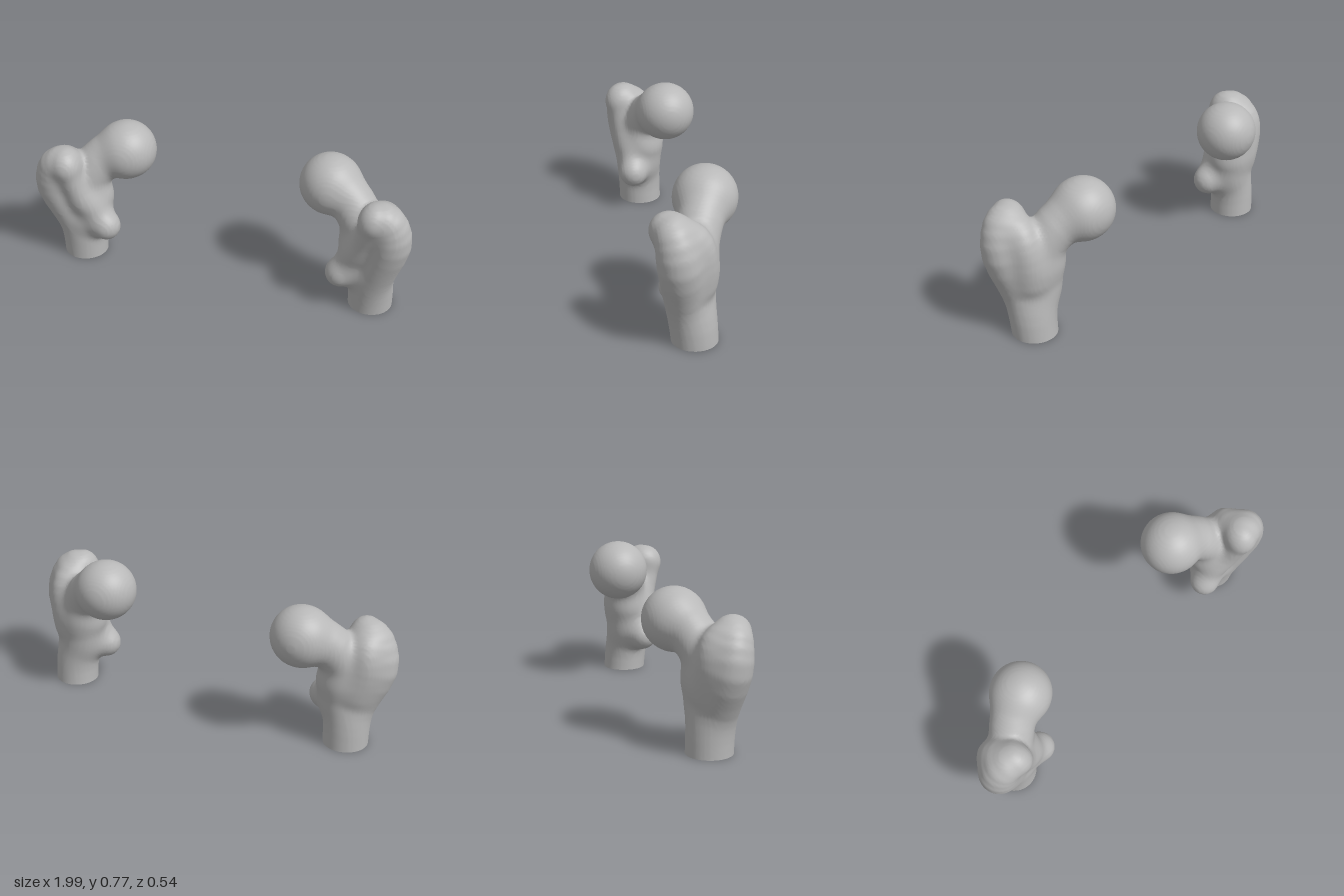
import * as THREE from 'three';

const H = 0.0125; // sampling step of the sculpted surface

const bone = new THREE.MeshStandardMaterial({ color: 0xb8b8b8, side: THREE.DoubleSide });
bone.name = 'boneGrey';

// Anchor spheres [x, y, z, radius] of each thigh bone, x measured outward from the middle.
const leftBone = {
  head: [[0.545, 0.617, -0.062, 0.157], [0.55, 0.615, -0.06, 0.157]],
  neck: [[0.56, 0.605, -0.055, 0.115], [0.645, 0.58, -0.018, 0.114], [0.72, 0.495, 0.025, 0.112], [0.77, 0.38, 0.05, 0.115]],
  shaft: [[0.8, -0.1, 0.045, 0.1], [0.796, 0.08, 0.045, 0.103], [0.765, 0.22, 0.048, 0.108], [0.735, 0.36, 0.045, 0.112]],
  side: [[0.798, -0.1, 0.03, 0.1], [0.808, 0.08, 0.064, 0.1], [0.828, 0.23, 0.102, 0.097], [0.888, 0.45, 0.14, 0.106],
    [0.87, 0.58, 0.162, 0.092], [0.81, 0.616, 0.19, 0.07]],
  frontRidge: [[0.82, 0.61, 0.15, 0.07], [0.845, 0.555, 0.065, 0.075], [0.845, 0.46, 0.035, 0.078], [0.82, 0.32, 0.04, 0.085]],
  lesser: [[0.73, 0.23, 0.07, 0.09], [0.645, 0.203, 0.11, 0.069]],
  crest: [[0.798, 0.58, 0.195, 0.06], [0.755, 0.42, 0.15, 0.06], [0.69, 0.3, 0.115, 0.06], [0.65, 0.22, 0.11, 0.055]],
};
const rightBone = {
  head: [[0.545, 0.602, -0.117, 0.155], [0.55, 0.6, -0.115, 0.155]],
  neck: [[0.56, 0.59, -0.11, 0.115], [0.65, 0.565, -0.075, 0.114], [0.72, 0.48, -0.035, 0.112], [0.755, 0.36, -0.015, 0.115]],
  shaft: [[0.763, -0.1, -0.018, 0.103], [0.76, 0.08, -0.018, 0.104], [0.74, 0.21, -0.018, 0.108], [0.715, 0.34, -0.02, 0.112]],
  side: [[0.765, -0.1, -0.02, 0.103], [0.775, 0.08, -0.01, 0.101], [0.808, 0.22, 0.01, 0.097], [0.888, 0.42, 0.032, 0.106],
    [0.873, 0.55, 0.055, 0.092], [0.815, 0.592, 0.088, 0.07]],
  frontRidge: [[0.82, 0.59, 0.05, 0.07], [0.85, 0.54, -0.02, 0.075], [0.85, 0.45, -0.04, 0.078], [0.81, 0.31, -0.025, 0.085]],
  lesser: [[0.705, 0.23, 0.01, 0.09], [0.62, 0.208, 0.05, 0.07]],
  crest: [[0.798, 0.555, 0.095, 0.06], [0.755, 0.41, 0.075, 0.06], [0.68, 0.3, 0.055, 0.06], [0.63, 0.23, 0.05, 0.055]],
};

// Resample a chain of spheres along a smooth curve, radius included
function smoothChain(chain) {
  if (chain.length < 3) return chain;
  const path = new THREE.CatmullRomCurve3(chain.map((s) => new THREE.Vector3(s[0], s[1], s[2])), false, 'catmullrom');
  const radius = new THREE.SplineCurve(chain.map((s) => new THREE.Vector2(s[3], 0)));
  const n = (chain.length - 1) * 3;
  return Array.from({ length: n + 1 }, (_, i) => [...path.getPoint(i / n).toArray(), radius.getPoint(i / n).x]);
}

// Distance to a tapered limb running through a chain of spheres
function limb(chain, x, y, z) {
  let best = Infinity;
  for (let n = 0; n + 1 < chain.length; n++) {
    const a = chain[n], b = chain[n + 1];
    const dx = b[0] - a[0], dy = b[1] - a[1], dz = b[2] - a[2];
    const px = x - a[0], py = y - a[1], pz = z - a[2];
    const t = Math.min(1, Math.max(0, (px * dx + py * dy + pz * dz) / (dx * dx + dy * dy + dz * dz)));
    const qx = px - dx * t, qy = py - dy * t, qz = pz - dz * t;
    best = Math.min(best, Math.sqrt(qx * qx + qy * qy + qz * qz) - a[3] - (b[3] - a[3]) * t);
  }
  return best;
}

// Union with a soft fillet of width k
function blend(a, b, k) {
  const h = Math.max(k - Math.abs(a - b), 0) / k;
  return Math.min(a, b) - h * h * k * 0.25;
}

// Parts in the order they are joined, each with its fillet width
const joints = [['side', 0.05], ['neck', 0.05], ['frontRidge', 0.045], ['crest', 0.045], ['lesser', 0.055], ['head', 0.03]];

function boneField(parts, x, y, z) {
  return joints.reduce((d, [name, k]) => blend(d, limb(parts[name], x, y, z), k), limb(parts.shaft, x, y, z));
}

// Skin the field with one vertex per crossed cell and one quad per crossed edge
function skin(field, min, max) {
  const size = min.map((m, i) => Math.ceil((max[i] - m) / H) + 1);
  const step = [1, size[0], size[0] * size[1]];
  const at = (c) => c[0] + c[1] * step[1] + c[2] * step[2];
  const values = new Float32Array(size[0] * size[1] * size[2]);
  const each = (fn) => {
    const c = [0, 0, 0];
    for (c[2] = 0; c[2] < size[2]; c[2]++)
      for (c[1] = 0; c[1] < size[1]; c[1]++)
        for (c[0] = 0; c[0] < size[0]; c[0]++) fn(c, at(c));
  };
  each((c, id) => { values[id] = field(...c.map((v, i) => min[i] + v * H)); });

  const cellVertex = new Int32Array(values.length).fill(-1);
  const positions = [], index = [];
  each((c, id) => {
    if (c.some((v, i) => v >= size[i] - 1)) return;
    const sum = [0, 0, 0];
    let hits = 0;
    for (let corner = 0; corner < 8; corner++) {
      const o = [corner & 1, (corner >> 1) & 1, corner >> 2];
      const start = id + at(o);
      for (let a = 0; a < 3; a++) {
        if (o[a]) continue;
        const f0 = values[start], f1 = values[start + step[a]];
        if ((f0 < 0) === (f1 < 0)) continue;
        for (let i = 0; i < 3; i++) sum[i] += o[i] + (i === a ? f0 / (f0 - f1) : 0);
        hits++;
      }
    }
    if (!hits) return;
    cellVertex[id] = positions.length / 3;
    const v = sum.map((s, i) => min[i] + (c[i] + s / hits) * H);
    if (c[1] === 0) v[1] = 0; // straight saw cut at the open foot
    positions.push(...v);
  });
  each((c, id) => {
    for (let a = 0; a < 3; a++) {
      const b = (a + 1) % 3, d = (a + 2) % 3;
      if (c[a] >= size[a] - 1 || c[b] === 0 || c[d] === 0) continue;
      const inside = values[id] < 0;
      if (inside === (values[id + step[a]] < 0)) continue;
      const q = [id, id - step[b], id - step[b] - step[d], id - step[d]].map((n) => cellVertex[n]);
      if (q.includes(-1)) continue;
      if (!inside) q.reverse();
      index.push(q[0], q[1], q[2], q[0], q[2], q[3]);
    }
  });

  const geometry = new THREE.BufferGeometry();
  geometry.setAttribute('position', new THREE.Float32BufferAttribute(positions, 3));
  geometry.setIndex(index);
  geometry.computeVertexNormals();
  return geometry;
}

export function createModel() {
  const model = new THREE.Group();
  model.name = 'thighBonePair';
  for (const [name, anchors, side] of [['leftThighBone', leftBone, 1], ['rightThighBone', rightBone, -1]]) {
    const parts = {};
    for (const key in anchors) parts[key] = smoothChain(anchors[key]);
    const xs = [side * 0.35, side * 1.05];
    const geometry = skin(
      (x, y, z) => boneField(parts, side * x, y, z),
      [Math.min(...xs), -H / 2, -0.32], [Math.max(...xs), 0.82, 0.32],
    );
    const mesh = new THREE.Mesh(geometry, bone);
    mesh.name = name;
    model.add(mesh);
  }
  return model;
}
